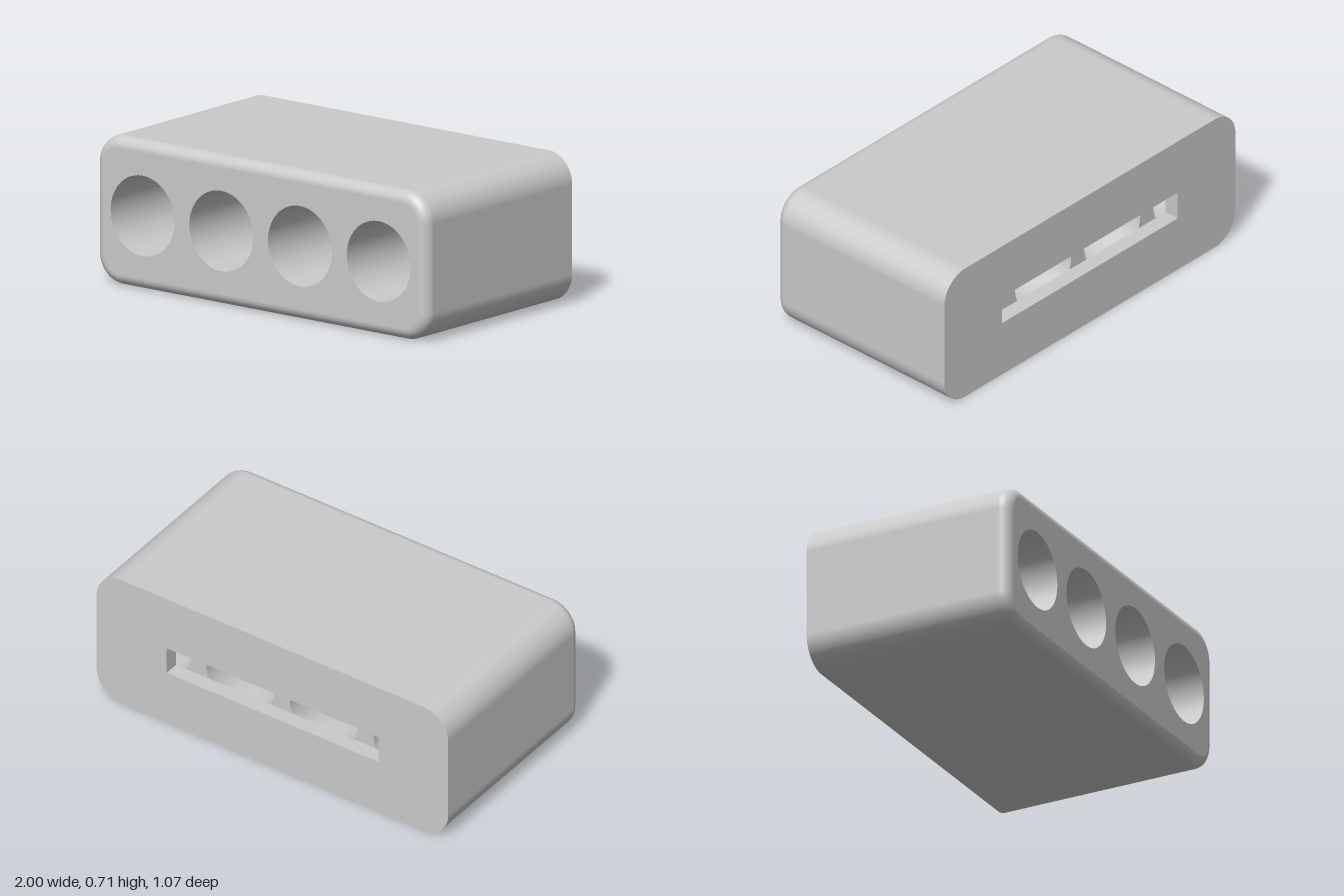
import * as THREE from 'three';

const W = 1, H = 0.357, D = 0.534;      // half sizes of the block
const R = 0.143, F = 0.055;             // corner radius, front edge rounding
const BORE = 0.193, STEP = 0.475;       // bore radius and spacing
const SX = 0.603, SY = 0.0715;          // half sizes of the rear slot
const FLOOR = -D + 0.077;               // where bores meet the slot
const A = Math.asin(SY / BORE);         // angle at which the slot cuts a bore
const CENTRES = [-1.5, -0.5, 0.5, 1.5].map((k) => k * STEP);

function roundedRect(w, h, r) {
  const s = new THREE.Shape();
  s.absarc(w - r, h - r, r, 0, Math.PI / 2);
  s.absarc(-w + r, h - r, r, Math.PI / 2, Math.PI);
  s.absarc(-w + r, -h + r, r, Math.PI, Math.PI * 1.5);
  s.absarc(w - r, -h + r, r, Math.PI * 1.5, Math.PI * 2);
  return s;
}

// Side wall swept forward and rolled over at the front edge, with exact normals
function wallGeometry() {
  const rings = [[-D, 0]];
  for (let i = 0; i <= 10; i++) {
    const f = (i / 10) * Math.PI / 2;
    rings.push([D - F + F * Math.sin(f), f]);
  }
  const seg = 16, n = 4 * (seg + 1);
  const pos = [], nor = [], idx = [];
  rings.forEach(([z, f], ring) => {
    const r = R - F * (1 - Math.cos(f));
    for (let q = 0; q < 4; q++) {
      const cx = (q === 0 || q === 3 ? 1 : -1) * (W - R);
      const cy = (q < 2 ? 1 : -1) * (H - R);
      for (let j = 0; j <= seg; j++) {
        const a = (q + j / seg) * Math.PI / 2;
        pos.push(cx + r * Math.cos(a), cy + r * Math.sin(a), z);
        nor.push(Math.cos(a) * Math.cos(f), Math.sin(a) * Math.cos(f), Math.sin(f));
      }
    }
    if (ring === 0) return;
    for (let i = 0; i < n; i++) {
      const k = (i + 1) % n, lo = (ring - 1) * n, hi = ring * n;
      idx.push(lo + i, lo + k, hi + k, lo + i, hi + k, hi + i);
    }
  });
  const g = new THREE.BufferGeometry();
  g.setAttribute('position', new THREE.Float32BufferAttribute(pos, 3));
  g.setAttribute('normal', new THREE.Float32BufferAttribute(nor, 3));
  g.setIndex(idx);
  return g;
}

export function createModel() {
  const model = new THREE.Group();
  model.name = 'fourHoleBlock';
  const body = new THREE.Group();
  body.name = 'body';
  body.position.y = H;
  model.add(body);

  const grey = new THREE.MeshStandardMaterial({ color: 0xcacaca, side: THREE.DoubleSide });
  grey.name = 'light grey';

  const add = (name, geometry, x = 0, y = 0, z = 0) => {
    const m = new THREE.Mesh(geometry, grey);
    m.name = name;
    m.position.set(x, y, z);
    body.add(m);
    return m;
  };
  const flat = (shape) => new THREE.ShapeGeometry(shape, 24);

  add('outerWall', wallGeometry());

  // Front face with four round openings
  const front = roundedRect(W - F, H - F, R - F);
  for (const c of CENTRES) front.holes.push(new THREE.Path().absarc(c, 0, BORE, 0, Math.PI * 2, true));
  add('frontFace', flat(front), 0, 0, D);

  // Back face with the slot opening
  const back = roundedRect(W, H, R);
  back.holes.push(new THREE.Path([[-SX, -SY], [-SX, SY], [SX, SY], [SX, -SY]].map((p) => new THREE.Vector2(...p))));
  add('backFace', flat(back), 0, 0, -D).rotation.y = Math.PI;

  // Bores
  const depth = D - FLOOR;
  const bore = new THREE.CylinderGeometry(BORE, BORE, depth, 64, 1, true).rotateX(Math.PI / 2);
  for (const c of CENTRES) add('bore', bore, c, 0, FLOOR + depth / 2);

  // Floors of the inner bores: a cap above and below the slot
  const cap = flat(new THREE.Shape().absarc(0, 0, BORE, A, Math.PI - A));
  for (const c of [CENTRES[1], CENTRES[2]]) {
    add('boreFloor', cap, c, 0, FLOOR);
    add('boreFloor', cap, c, 0, FLOOR).rotation.z = Math.PI;
  }

  // Floors of the outer bores, notched by the slot ends
  const notch = new THREE.Shape().absarc(CENTRES[3], 0, BORE, A - Math.PI, Math.PI - A);
  notch.lineTo(SX, SY);
  notch.lineTo(SX, -SY);
  add('boreFloor', flat(notch), 0, 0, FLOOR);
  add('boreFloor', flat(notch), 0, 0, FLOOR).rotation.z = Math.PI;

  // Webs between the bores, seen at the bottom of the slot
  for (let i = 0; i < 3; i++) {
    const web = new THREE.Shape();
    web.absarc(CENTRES[i], 0, BORE, -A, A);
    web.absarc(CENTRES[i + 1], 0, BORE, Math.PI - A, Math.PI + A);
    add('slotWeb', flat(web), 0, 0, FLOOR).rotation.y = 0;
  }

  // Slot walls
  const slotDepth = FLOOR + D, zMid = (FLOOR - D) / 2;
  for (const s of [-1, 1]) {
    add('slotWall', new THREE.PlaneGeometry(2 * SX, slotDepth), 0, s * SY, zMid).rotation.x = s * Math.PI / 2;
    add('slotEnd', new THREE.PlaneGeometry(slotDepth, 2 * SY), s * SX, 0, zMid).rotation.y = -s * Math.PI / 2;
  }
  return model;
}
